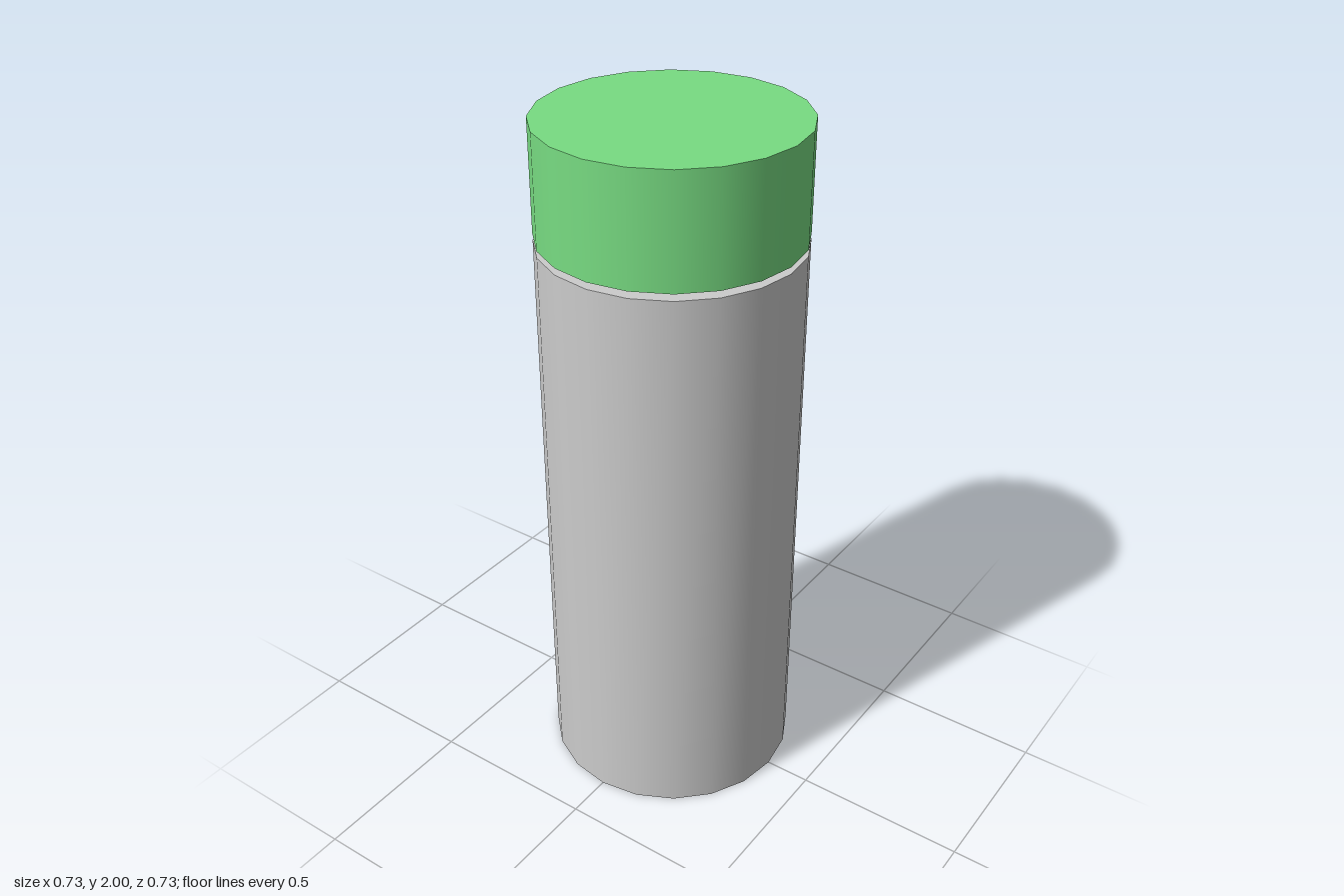
import * as THREE from 'three';

const SIDES = 20;
const RADIUS = 0.366;

// Upright capped cylinder spanning two heights
function drum(name, radius, bottom, top, material) {
  const geometry = new THREE.CylinderGeometry(radius, radius, top - bottom, SIDES);
  const mesh = new THREE.Mesh(geometry, material);
  mesh.name = name;
  mesh.position.y = (bottom + top) / 2;
  return mesh;
}

export function createModel() {
  const grey = new THREE.MeshStandardMaterial({ color: 0xcccccc });
  const green = new THREE.MeshStandardMaterial({ color: 0x78dc82 });

  const model = new THREE.Group();
  model.name = 'cappedCanister';
  model.add(
    drum('body', RADIUS, 0, 1.664, grey),
    // Narrow neck bridging the thin gap below the cap
    drum('neck', 0.18, 1.664, 1.683, green),
    drum('cap', RADIUS, 1.683, 2, green),
  );
  return model;
}
